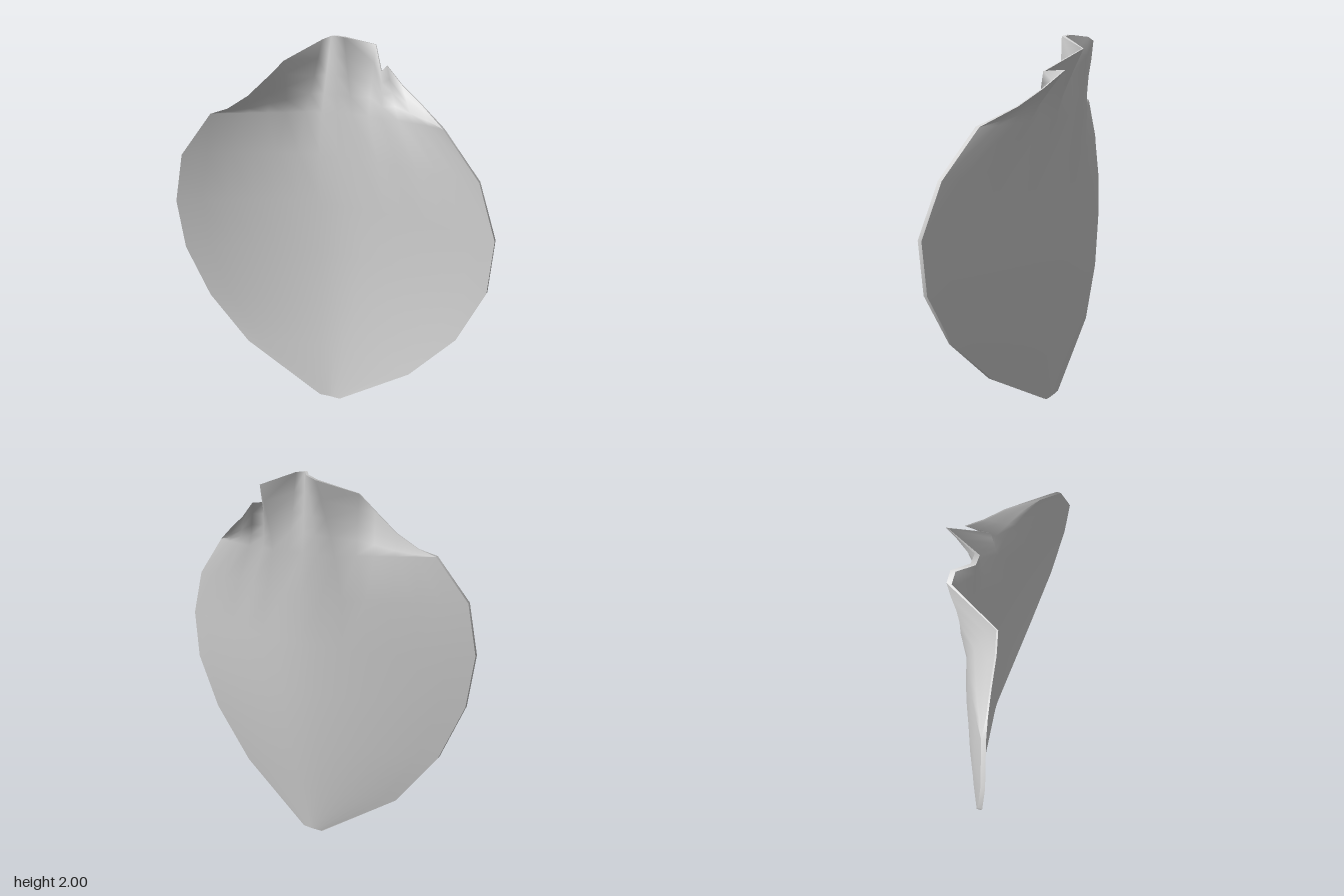
import * as THREE from 'three';

// Cross-sections from the tip upward: [y, left x, right x, left z, centre z, right z]
const SECTIONS = [
  [0.00, -0.10, 0.02, 0.045, 0.042, 0.045],
  [0.29, -0.52, 0.44, 0.11, 0.008, 0.10],
  [0.57, -0.72, 0.69, 0.165, -0.022, 0.14],
  [0.86, -0.83, 0.83, 0.21, -0.042, 0.158],
  [1.13, -0.855, 0.85, 0.23, -0.053, 0.158],
  [1.39, -0.80, 0.75, 0.228, -0.064, 0.113],
  [1.61, -0.64, 0.55, 0.18, -0.08, 0.052],
];

// Pleated upper edge, one point per column: [x, y, z]
const PLEATS = [
  [-0.64, 1.61, 0.18], [-0.55, 1.64, 0.165], [-0.44, 1.71, 0.145], [-0.33, 1.81, 0.13],
  [-0.25, 1.89, 0.11], [-0.15, 1.97, -0.13], [-0.10, 1.99, -0.13], [-0.05, 2.00, -0.06],
  [0.00, 1.995, -0.06], [0.10, 1.945, -0.23], [0.19, 1.84, -0.07], [0.18, 1.85, -0.18],
  [0.28, 1.77, -0.125], [0.40, 1.695, -0.065], [0.55, 1.61, 0.052],
];
const COLS = PLEATS.length - 1;
const SHOULDER = 1.61;

// Rows of points on the middle surface
function middleRows() {
  const rows = SECTIONS.map(([y, xl, xr, zl, zc, zr]) =>
    PLEATS.map((pleat, j) => {
      const u = j / COLS, t = 2 * u - 1;
      const z = t < 0 ? zc + (zl - zc) * (-t) ** 1.7 : zc + (zr - zc) * t ** 1.5;
      // the folds fade out just below the shoulder
      const fold = y === SHOULDER ? 0.15 * (pleat[2] - z) : 0;
      return new THREE.Vector3(xl + (xr - xl) * u, y, z + fold);
    }));
  const shoulder = rows[rows.length - 1];
  for (const v of [0.25, 0.5, 0.75, 1]) {
    rows.push(PLEATS.map(([x, y, z], j) => {
      const p = shoulder[j].clone().lerp(new THREE.Vector3(x, y, z), v);
      p.z = shoulder[j].z + (z - shoulder[j].z) * v ** 1.15;
      return p;
    }));
  }
  return rows;
}

// Half the thickness: the folded parts beside the crown are thinner
function halfThickness(p) {
  return p.y > SHOULDER && Math.abs(p.x + 0.07) > 0.1 ? 0.004 : 0.011;
}

// Joins rows of equal length into a smooth sheet
function sheet(rows, flip) {
  const n = rows[0].length, index = [];
  for (let i = 0; i < rows.length - 1; i++) {
    for (let j = 0; j < n - 1; j++) {
      const a = i * n + j, b = a + 1, c = a + n, d = c + 1;
      if (flip) index.push(a, c, b, b, c, d);
      else index.push(a, b, c, b, d, c);
    }
  }
  const g = new THREE.BufferGeometry().setFromPoints(rows.flat());
  g.setIndex(index);
  g.computeVertexNormals();
  return g;
}

export function createModel() {
  const petalGrey = new THREE.MeshStandardMaterial({ color: 0xcccccc, side: THREE.DoubleSide });
  petalGrey.name = 'petalGrey';

  const group = new THREE.Group();
  group.name = 'petal';
  const add = (name, geometry) => {
    const mesh = new THREE.Mesh(geometry, petalGrey);
    mesh.name = name;
    group.add(mesh);
  };

  const rows = middleRows();
  const shift = (points, side) =>
    points.map(p => new THREE.Vector3(p.x, p.y, p.z + side * halfThickness(p)));

  // Two faces of the petal
  add('frontFace', sheet(rows.map(r => shift(r, 1)), false));
  add('backFace', sheet(rows.map(r => shift(r, -1)), true));

  // Narrow rim closing the sheet all the way round
  const sides = rows.slice(0, SECTIONS.length);
  const loop = [
    ...rows[0],
    ...sides.slice(1).map(r => r[COLS]),
    ...rows[rows.length - 1].slice(1, -1).reverse(),
    ...sides.map(r => r[0]).reverse(),
  ];
  add('rim', sheet([shift(loop, -1), shift(loop, 1)], false));
  return group;
}
